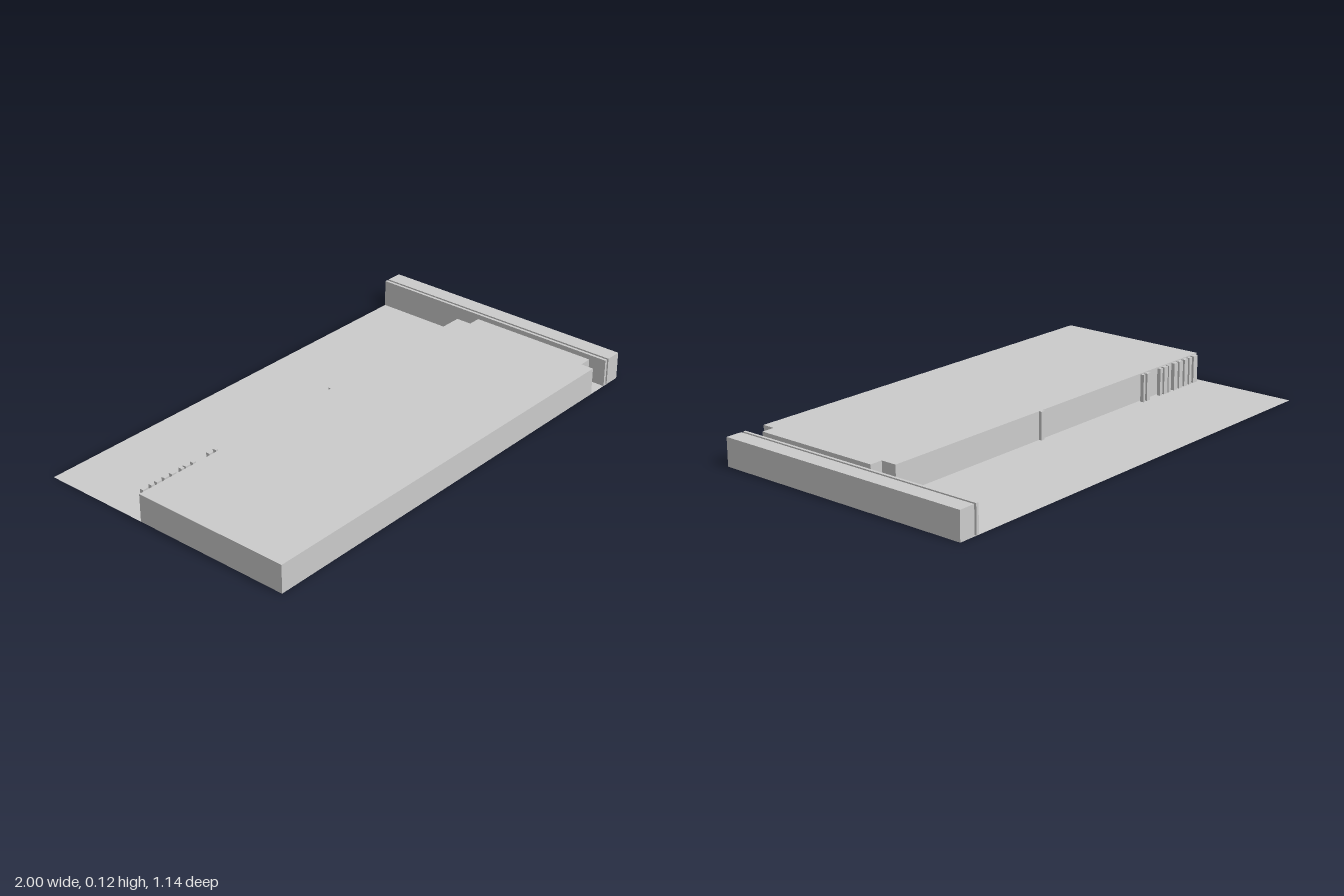
import * as THREE from 'three';

const HEIGHT = 0.115;

export function createModel() {
  const model = new THREE.Group();
  const material = new THREE.MeshStandardMaterial({ color: 0xcccccc, flatShading: true });

  const add = (name, geometry, mat = material) => {
    const mesh = new THREE.Mesh(geometry, mat);
    mesh.name = name;
    model.add(mesh);
    return mesh;
  };

  // Full-height block given by its footprint
  const block = (name, x0, x1, z0, z1) =>
    add(name, new THREE.BoxGeometry(x1 - x0, HEIGHT, z1 - z0))
      .position.set((x0 + x1) / 2, HEIGHT / 2, (z0 + z1) / 2);

  // Thin ground sheet
  const sheet = material.clone();
  sheet.side = THREE.DoubleSide;
  add('ground', new THREE.PlaneGeometry(2, 1.14).rotateX(-Math.PI / 2), sheet);

  // Main slab with a shallow step on its left end
  const outline = [
    [-1, 0.57], [0.82, 0.57], [0.82, 0.515], [0.875, 0.515],
    [0.875, -0.04], [0.82, -0.04], [0.82, -0.107], [-1, -0.107],
  ];
  const shape = new THREE.Shape(outline.map(([x, z]) => new THREE.Vector2(x, -z)));
  const slab = new THREE.ExtrudeGeometry(shape, { depth: HEIGHT, bevelEnabled: false });
  add('mainSlab', slab.rotateX(-Math.PI / 2));

  // Row of end blocks along the left edge
  const cuts = [-0.57, -0.487, -0.103, 0.403, 0.543, 0.57];
  for (let i = 0; i < cuts.length - 1; i++) {
    block(`endBlock${i + 1}`, 0.93, 1, cuts[i], cuts[i + 1]);
  }

  // Thin wall just inside the end blocks
  block('thinWall', 0.908, 0.92, -0.57, 0.57);

  // Small posts behind the slab: [start x, width]
  const posts = [
    [-0.973, 0.027], [-0.932, 0.016], [-0.905, 0.024], [-0.868, 0.024], [-0.832, 0.024],
    [-0.783, 0.014], [-0.762, 0.024], [-0.726, 0.016], [-0.642, 0.022], [-0.608, 0.012],
  ];
  posts.forEach(([x, w], i) => block(`post${i + 1}`, x, x + w, -0.131, -0.115));

  // Single rib on the back face of the slab
  block('backRib', 0.02, 0.037, -0.119, -0.107);

  return model;
}
